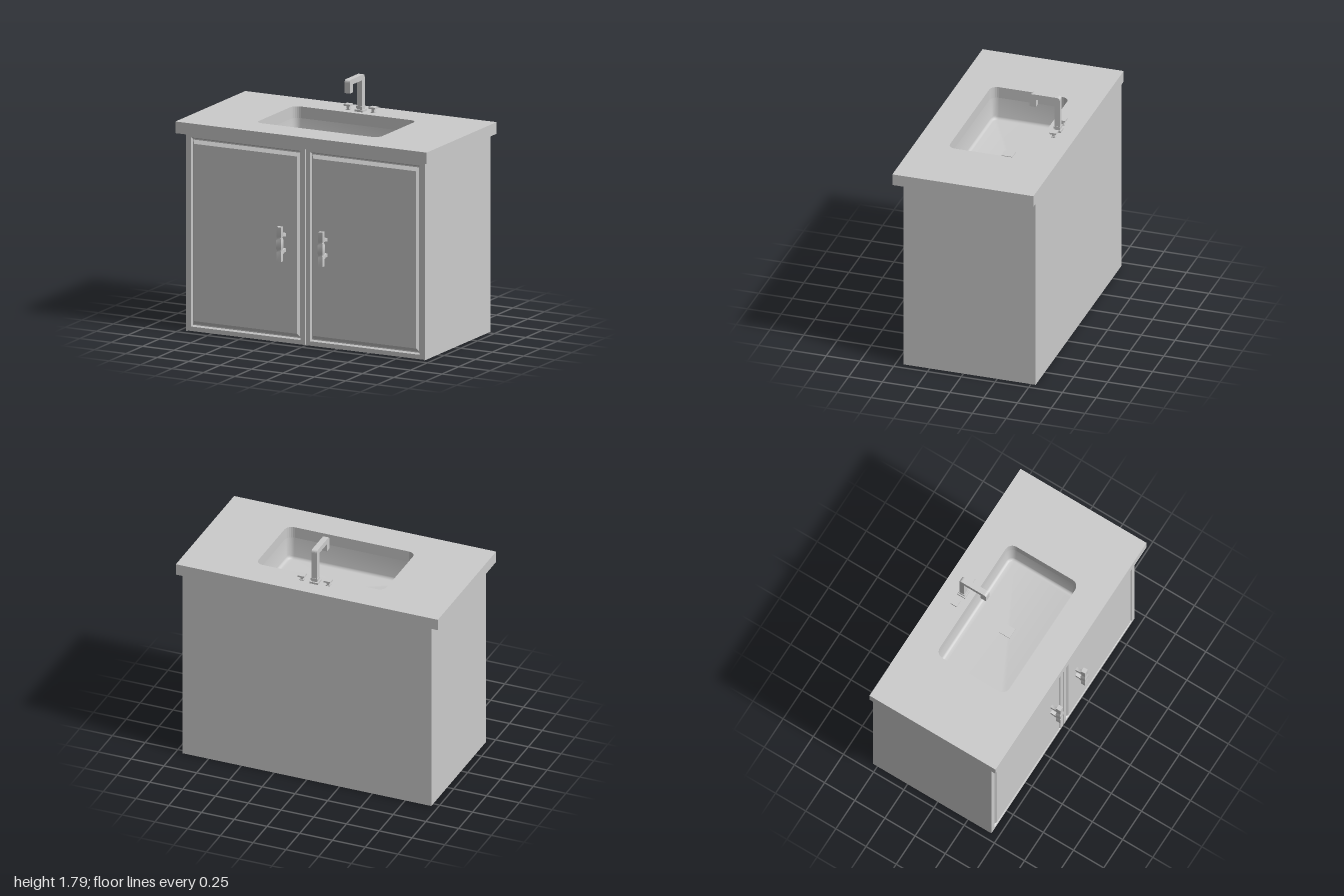
import * as THREE from 'three';
import { toCreasedNormals } from 'three/addons/utils/BufferGeometryUtils.js';

const grey = new THREE.MeshStandardMaterial({ color: 0xcccccc });

function add(parent, name, geometry, x = 0, y = 0, z = 0) {
  const mesh = new THREE.Mesh(geometry, grey);
  mesh.name = name;
  mesh.position.set(x, y, z);
  parent.add(mesh);
  return mesh;
}

// Skin a list of equal-length rings of [x, y, z]; the last ring (and optionally the first) is capped.
function loft(rings, capStart = false) {
  const n = rings[0].length, index = [];
  for (let r = 0; r < rings.length - 1; r++) {
    for (let i = 0; i < n; i++) {
      const a = r * n + i, b = r * n + (i + 1) % n;
      index.push(a, b, b + n, a, b + n, a + n);
    }
  }
  const last = (rings.length - 1) * n;
  for (let i = 1; i < n - 1; i++) {
    index.push(last, last + i, last + i + 1);
    if (capStart) index.push(0, i + 1, i);
  }
  const g = new THREE.BufferGeometry();
  g.setAttribute('position', new THREE.Float32BufferAttribute(rings.flat(2), 3));
  g.setIndex(index);
  return toCreasedNormals(g, 0.6);
}

// Rounded rectangle outline, counter-clockwise, as [x, y] pairs
function roundedRect(halfW, halfH, r, steps = 6) {
  const pts = [];
  [[1, 1], [-1, 1], [-1, -1], [1, -1]].forEach(([sx, sy], c) => {
    for (let i = 0; i <= steps; i++) {
      const a = (c + i / steps) * Math.PI / 2;
      pts.push([sx * (halfW - r) + r * Math.cos(a), sy * (halfH - r) + r * Math.sin(a)]);
    }
  });
  return pts;
}

const rect = (x0, y0, x1, y1) => [[x0, y0], [x1, y0], [x1, y1], [x0, y1]];
const toVec = (pts) => pts.map(([x, y]) => new THREE.Vector2(x, y));

// Flat plate with a hole, drawn in plan (shape y = -z) and extruded upwards
function plateWithHole(outer, hole, height) {
  const shape = new THREE.Shape(toVec(outer));
  shape.holes.push(new THREE.Path(toVec(hole)));
  return new THREE.ExtrudeGeometry(shape, { depth: height, bevelEnabled: false }).rotateX(-Math.PI / 2);
}

// Door with a frame, a groove and a raised bevelled panel
function doorGeometry(x0, x1, y0, y1) {
  const profile = [ // x inset, y inset, z
    [0, 0, 0.42], [0, 0, 0.445], [0.035, 0.032, 0.445], [0.042, 0.042, 0.43],
    [0.046, 0.05, 0.43], [0.06, 0.075, 0.449],
  ];
  return loft(profile.map(([ix, iy, z]) =>
    rect(x0 + ix, y0 + iy, x1 - ix, y1 - iy).map(([x, y]) => [x, y, z])));
}

// Pull handle: a bar swelling in the middle, on two tapered posts
function makeHandle(name, x) {
  const handle = new THREE.Group();
  handle.name = name;
  const sections = [ // y, half width, half depth
    [-0.125, 0.018, 0.017], [-0.06, 0.018, 0.017], [-0.045, 0.015, 0.014], [-0.025, 0.021, 0.019],
    [0.025, 0.021, 0.019], [0.045, 0.015, 0.014], [0.06, 0.018, 0.017], [0.125, 0.018, 0.017],
  ];
  add(handle, 'handleBar', loft(sections.map(([y, w, d]) =>
    rect(-w, -d, w, d).map(([px, pz]) => [px, y, -pz])), true), 0, 0, 0.518);
  for (const side of [1, -1]) {
    const post = [[0.44, 0.013, 0.055], [0.475, 0.011, 0.058], [0.505, 0.018, 0.069]];
    add(handle, 'handlePost', loft(post.map(([z, h, y]) =>
      rect(-0.012, side * y - h, 0.012, side * y + h).map(([px, py]) => [px, py, z])), true));
  }
  handle.position.set(x, 0.73, 0);
  return handle;
}

// Square-section spout: side outline in (z, y), extruded across x
function spoutGeometry() {
  const s = new THREE.Shape();
  s.moveTo(-0.403, 1.53);
  s.lineTo(-0.403, 1.765);
  s.quadraticCurveTo(-0.403, 1.787, -0.381, 1.787);
  s.lineTo(-0.202, 1.787);
  s.quadraticCurveTo(-0.18, 1.787, -0.18, 1.765);
  s.lineTo(-0.18, 1.69);
  s.lineTo(-0.226, 1.69);
  s.lineTo(-0.226, 1.748);
  s.lineTo(-0.362, 1.748);
  s.lineTo(-0.362, 1.53);
  s.closePath();
  const g = new THREE.ExtrudeGeometry(s, { depth: 0.042, bevelEnabled: false, curveSegments: 5 });
  return g.rotateY(-Math.PI / 2).translate(0.021, 0, 0);
}

export function createModel() {
  const model = new THREE.Group();
  model.name = 'sinkCabinet';

  // Hollow carcass and its floor
  add(model, 'carcass', plateWithHole(rect(-0.95, -0.42, 0.95, 0.535), rect(-0.92, -0.39, 0.92, 0.505), 1.436));
  add(model, 'cabinetFloor', new THREE.BoxGeometry(1.86, 0.03, 0.91), 0, 0.015, 0.0575 - 0.115);
  for (const s of [1, -1]) {
    add(model, 'sideEdge', new THREE.BoxGeometry(0.006, 1.436, 0.023), s * 0.947, 0.718, 0.431);
  }

  // Doors and handles
  add(model, 'rightDoor', doorGeometry(-0.944, -0.003, 0.004, 1.434));
  add(model, 'leftDoor', doorGeometry(0.003, 0.944, 0.004, 1.434));
  model.add(makeHandle('rightHandle', -0.165), makeHandle('leftHandle', 0.165));

  // Countertop with a rounded cut-out
  const basinZ = -0.017, halfW = 0.49, halfD = 0.288, radius = 0.055;
  const cutout = roundedRect(halfW, halfD, radius).map(([x, y]) => [x, y - basinZ]);
  add(model, 'countertop', plateWithHole(rect(-1, -0.51, 1, 0.535), cutout, 0.084), 0, 1.436, 0);

  // Basin: straight walls, a fillet and a flat floor
  const floorY = 1.27, rings = [[0, 1.436], [0.006, floorY + 0.03]];
  for (let i = 1; i <= 5; i++) {
    const a = i / 5 * Math.PI / 2;
    rings.push([0.006 + 0.022 * (1 - Math.cos(a)), floorY + 0.03 * (1 - Math.sin(a))]);
  }
  const basin = add(model, 'basin', loft(rings.map(([inset, y]) =>
    roundedRect(halfW - inset, halfD - inset, radius - inset).map(([x, d]) => [x, y, basinZ - d]))));
  basin.material = grey.clone();
  basin.material.side = THREE.DoubleSide;
  add(model, 'drain', new THREE.BoxGeometry(0.08, 0.008, 0.08), 0, floorY + 0.002, basinZ);

  // Faucet
  const faucet = new THREE.Group();
  faucet.name = 'faucet';
  model.add(faucet);
  add(faucet, 'spout', spoutGeometry());
  add(faucet, 'faucetBase', new THREE.BoxGeometry(0.064, 0.014, 0.064), 0, 1.527, -0.382);
  add(faucet, 'faucetCollar', new THREE.BoxGeometry(0.05, 0.018, 0.05), 0, 1.552, -0.382);

  // Taps either side of the spout
  for (const s of [1, -1]) {
    const tap = new THREE.Group();
    tap.name = s > 0 ? 'leftTap' : 'rightTap';
    tap.position.set(s * 0.1, 1.52, -0.385);
    add(tap, 'tapBase', new THREE.BoxGeometry(0.032, 0.006, 0.032), 0, 0.003, 0);
    add(tap, 'tapStem', new THREE.BoxGeometry(0.02, 0.03, 0.02), 0, 0.018, 0);
    add(tap, 'tapCap', new THREE.BoxGeometry(0.05, 0.012, 0.05), 0, 0.035, 0);
    model.add(tap);
  }
  return model;
}
